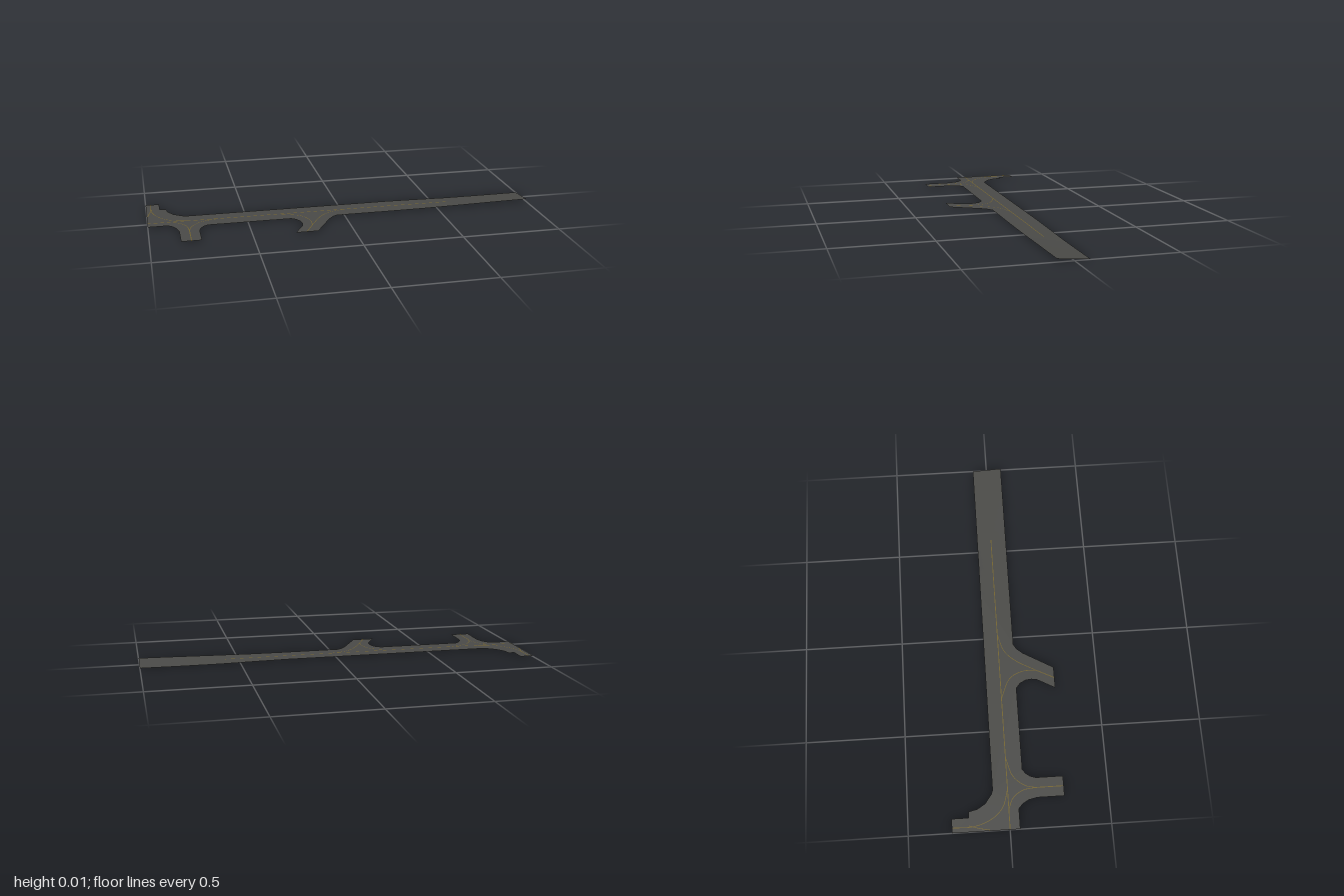
import * as THREE from 'three';

const BASE = 0.005;
const BACK = -0.075, FRONT = 0.08;

// Piecewise linear lookup through [x, y] stations
function lookup(stations, x) {
  for (let i = 1; i < stations.length; i++) {
    const [x0, y0] = stations[i - 1], [x1, y1] = stations[i];
    if (x <= x1) return THREE.MathUtils.mapLinear(Math.max(x, x0), x0, x1, y0, y1);
  }
  return stations[stations.length - 1][1];
}

// Road height: level on the left, banking up toward the front at the right end
const frontEdge = [[0.25, BASE], [0.42, 0.0058], [0.6, 0.0085], [0.8, 0.012], [1, 0.015]];
const backEdge = [[0.25, BASE], [0.42, 0.003], [0.6, 0], [0.8, 0], [1, 0.001]];
function height(x, z) {
  const t = (z - BACK) / (FRONT - BACK);
  return THREE.MathUtils.lerp(lookup(backEdge, x), lookup(frontEdge, x), t);
}

// Flat painted ribbon following a list of [x, z] points
function ribbon(points, width, smooth) {
  const v = points.map(([x, z]) => new THREE.Vector3(x, 0, z));
  let pts = v;
  if (smooth) pts = new THREE.CatmullRomCurve3(v).getPoints(20);
  const pos = [], index = [];
  pts.forEach((p, i) => {
    const a = pts[Math.max(i - 1, 0)], b = pts[Math.min(i + 1, pts.length - 1)];
    const d = b.clone().sub(a).normalize().multiplyScalar(width / 2);
    for (const s of [1, -1]) {
      const x = p.x + s * d.z, z = p.z - s * d.x;
      pos.push(x, height(x, z) + 0.0005, z);
    }
    if (i > 0) {
      const k = i * 2;
      index.push(k - 2, k - 1, k, k - 1, k + 1, k);
    }
  });
  const g = new THREE.BufferGeometry();
  g.setAttribute('position', new THREE.Float32BufferAttribute(pos, 3));
  g.setIndex(index);
  g.computeVertexNormals();
  return g;
}

export function createModel() {
  const group = new THREE.Group();
  const asphalt = new THREE.MeshStandardMaterial({ color: 0x4b4b48, side: THREE.DoubleSide });
  const paint = new THREE.MeshStandardMaterial({ color: 0x75652f });
  const add = (name, geometry, material) => {
    const mesh = new THREE.Mesh(geometry, material);
    mesh.name = name;
    group.add(mesh);
  };

  // Level road with both junctions, as one [x, z] outline
  const outline = [
    [0.25, BACK], [-0.8, BACK], [-0.82, -0.082], [-0.865, -0.115], [-0.89, -0.155], [-0.9, -0.2],
    [-0.93, -0.2], [-0.93, -0.285], [-1, -0.285], [-1, 0.05], [-0.9, 0.05],
    [-0.878, 0.07], [-0.86, 0.1], [-0.85, 0.145], [-0.85, 0.28], [-0.75, 0.28],
    [-0.75, 0.145], [-0.74, 0.115], [-0.725, 0.095], [-0.705, FRONT],
    [-0.28, FRONT], [-0.255, 0.1], [-0.24, 0.13], [-0.236, 0.16], [-0.241, 0.19],
    [-0.29, 0.28], [-0.178, 0.28], [-0.09, 0.125], [-0.065, 0.095], [-0.04, FRONT], [0.25, FRONT],
  ];
  const shape = new THREE.Shape(outline.map(([x, z]) => new THREE.Vector2(x, -z)));
  const level = new THREE.ShapeGeometry(shape);
  level.rotateX(-Math.PI / 2);
  level.translate(0, BASE, 0);
  add('junctionRoad', level, asphalt);

  // Banked straight road
  const ramp = new THREE.PlaneGeometry(0.75, FRONT - BACK, 15, 2);
  ramp.rotateX(-Math.PI / 2);
  ramp.translate(0.625, 0, (FRONT + BACK) / 2);
  const p = ramp.attributes.position;
  for (let i = 0; i < p.count; i++) p.setY(i, height(p.getX(i), p.getZ(i)));
  ramp.computeVertexNormals();
  add('bankedRoad', ramp, asphalt);

  // Centre lines
  const W = 0.004;
  add('mainCentreLine', ribbon([[-1, 0], [0.25, 0], [0.42, 0], [0.57, 0]], W, false), paint);
  add('sideRoadLine', ribbon([[-0.8, 0.28], [-0.8, 0.14]], W, false), paint);
  add('slipRoadLine', ribbon([[-0.235, 0.28], [-0.19, 0.19]], W, false), paint);

  // Turning lines through the junctions
  const turns = [
    [[-0.8, 0.14], [-0.785, 0.085], [-0.735, 0.03], [-0.64, 0]],
    [[-0.8, 0.14], [-0.81, 0.075], [-0.845, 0.025], [-0.9, 0]],
    [[-0.975, -0.285], [-0.975, -0.18], [-0.945, -0.09], [-0.89, -0.03], [-0.8, 0]],
    [[-0.97, -0.2], [-0.985, -0.15], [-0.996, -0.1]],
    [[-0.19, 0.19], [-0.13, 0.085], [-0.075, 0.03], [0.02, 0]],
    [[-0.19, 0.19], [-0.19, 0.12], [-0.225, 0.05], [-0.33, 0]],
  ];
  for (const t of turns) add('turningLine', ribbon(t, W * 0.8, true), paint);

  return group;
}
